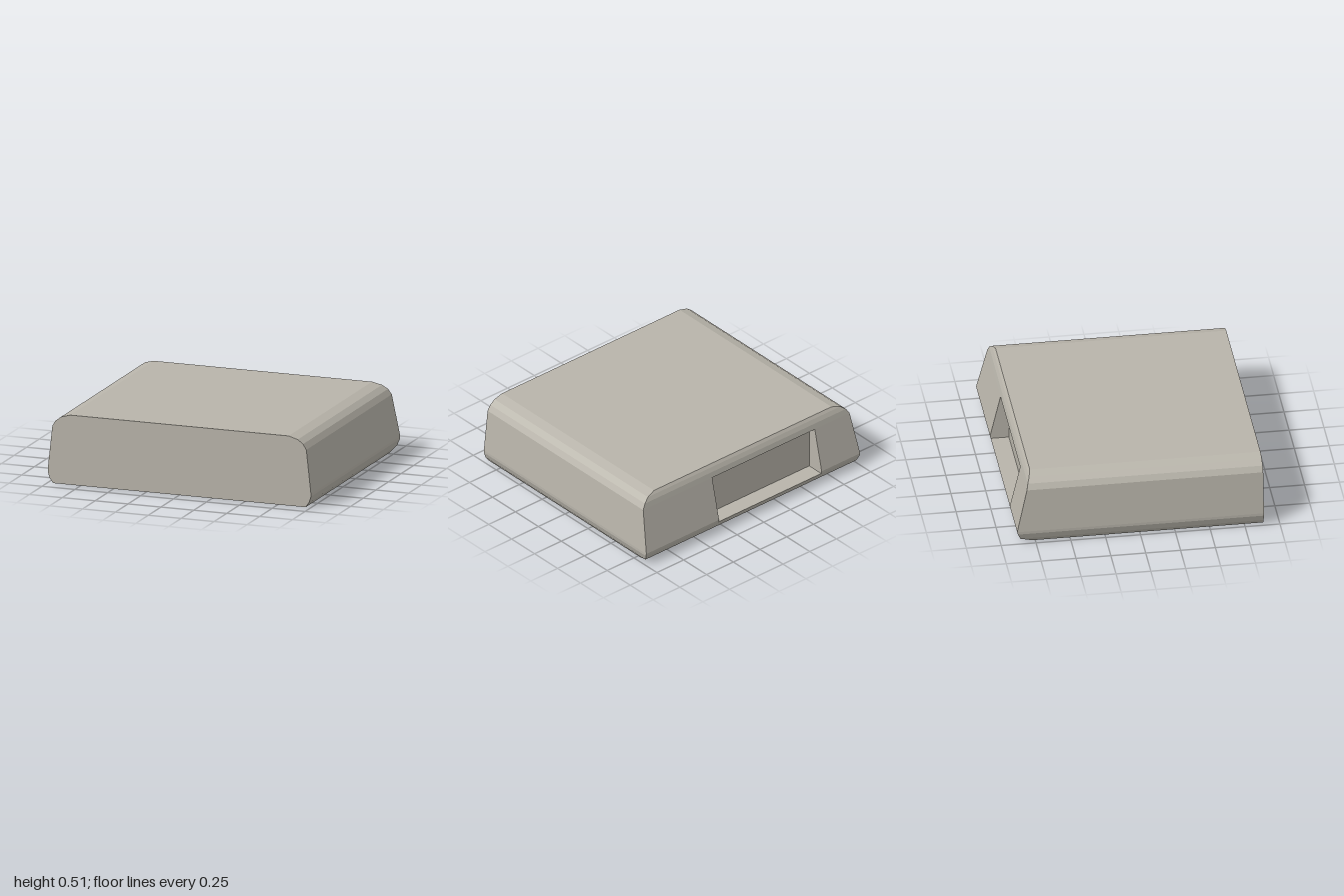
import * as THREE from 'three';

// Cross-section levels from bottom to top: height, half width, back end
const LEVELS = [
  [0, 0.96, -0.77], [0.035, 0.985, -0.86], [0.08, 1, -0.88], [0.1, 1, -0.885],
  [0.42, 0.965, -0.81], [0.46, 0.94, -0.8], [0.49, 0.9, -0.785], [0.51, 0.83, -0.77],
];
const FRONT = 0.885;
// Recess opening, between levels 2 and 4
const RECESS = { x0: -0.64, x1: 0.32, z: -0.75, low: 2, high: 4 };

// Turns four-cornered faces into a faceted mesh
function faceMesh(name, quads, material) {
  const positions = [];
  for (const [a, b, c, d] of quads) positions.push(...a, ...b, ...c, ...a, ...c, ...d);
  const geometry = new THREE.BufferGeometry();
  geometry.setAttribute('position', new THREE.Float32BufferAttribute(positions, 3));
  geometry.computeVertexNormals();
  const mesh = new THREE.Mesh(geometry, material);
  mesh.name = name;
  return mesh;
}

const flip = (quad) => [...quad].reverse();

export function createModel() {
  const group = new THREE.Group();
  group.name = 'casing';
  const grey = new THREE.MeshStandardMaterial({ color: 0xb8b4aa });
  grey.name = 'warm grey';

  const sides = [], front = [], back = [], recess = [];
  const { x0, x1, z, low, high } = RECESS;

  for (let i = 0; i < LEVELS.length - 1; i++) {
    const [ya, xa, za] = LEVELS[i];
    const [yb, xb, zb] = LEVELS[i + 1];

    // Left and right sides
    const side = (s) => [[s * xa, ya, FRONT], [s * xa, ya, za], [s * xb, yb, zb], [s * xb, yb, FRONT]];
    sides.push(side(1), flip(side(-1)));

    // Flat front
    front.push([[-xa, ya, FRONT], [xa, ya, FRONT], [xb, yb, FRONT], [-xb, yb, FRONT]]);

    // Sloping back, left open at the recess
    const strip = (ra, la, rb, lb) => [[ra, ya, za], [la, ya, za], [lb, yb, zb], [rb, yb, zb]];
    if (i >= low && i < high) {
      back.push(strip(xa, x1, xb, x1), strip(x0, -xa, x0, -xb));
      // Recess side walls
      const wall = (x) => [[x, ya, z], [x, ya, za], [x, yb, zb], [x, yb, z]];
      recess.push(wall(x0), flip(wall(x1)));
    } else {
      back.push(strip(xa, -xa, xb, -xb));
    }
  }

  // Recess floor, ceiling and inner wall
  const shelf = ([y, , zEdge]) => [[x0, y, z], [x1, y, z], [x1, y, zEdge], [x0, y, zEdge]];
  const yLow = LEVELS[low][0], yHigh = LEVELS[high][0];
  recess.push(shelf(LEVELS[low]), flip(shelf(LEVELS[high])));
  recess.push([[x1, yLow, z], [x0, yLow, z], [x0, yHigh, z], [x1, yHigh, z]]);

  // Top and bottom panels
  const panel = ([y, x, zEdge]) => [[-x, y, FRONT], [x, y, FRONT], [x, y, zEdge], [-x, y, zEdge]];
  const top = [panel(LEVELS[LEVELS.length - 1])];
  const bottom = [flip(panel(LEVELS[0]))];

  const parts = {
    sidePanels: sides, frontPanel: front, backPanel: back,
    backRecess: recess, topPanel: top, bottomPanel: bottom,
  };
  for (const [name, quads] of Object.entries(parts)) group.add(faceMesh(name, quads, grey));
  return group;
}
